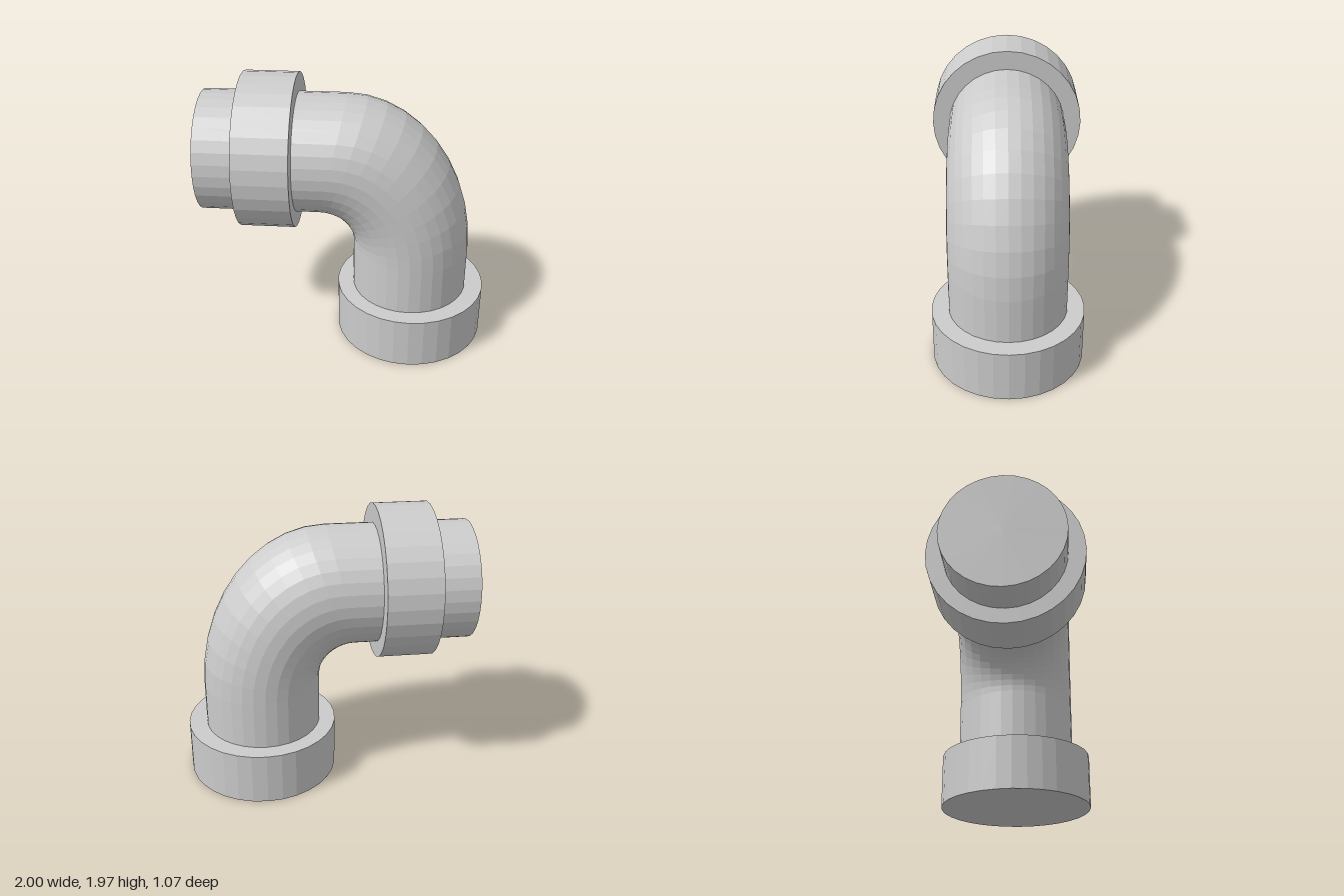
import * as THREE from 'three';

const SIDES = 32;
const PIPE_R = 0.417;

export function createModel() {
  const group = new THREE.Group();
  const material = new THREE.MeshStandardMaterial({ color: 0xcccccc, flatShading: true });
  const add = (name, geometry, x, y) => {
    const mesh = new THREE.Mesh(geometry, material);
    mesh.name = name;
    mesh.position.set(x, y, 0);
    group.add(mesh);
  };

  // Elbow pipe: each section is given by its inner and outer point in the xy plane
  const sections = [[-1, 0.998, -1, 1.832]];
  const BEND = 10;
  for (let i = 0; i <= BEND; i++) {
    const a = (i / BEND) * Math.PI / 2;
    const s = Math.sin(a), c = Math.cos(a);
    sections.push([
      -0.2 + 0.24 * s, 0.75 + 0.248 * c, // tight inner arc
      -0.01 + 0.88 * s, 0.7 + 1.132 * c, // wide outer arc
    ]);
  }
  sections.push([0.04, 0.3, 0.87, 0.3]);

  const positions = [];
  const index = [];
  sections.forEach(([ix, iy, ox, oy], i) => {
    for (let j = 0; j < SIDES; j++) {
      const a = (j / SIDES) * Math.PI * 2;
      const k = (1 + Math.cos(a)) / 2;
      positions.push(ix + (ox - ix) * k, iy + (oy - iy) * k, PIPE_R * Math.sin(a));
      if (i === sections.length - 1) continue;
      const p = i * SIDES + j;
      const q = i * SIDES + (j + 1) % SIDES;
      index.push(p, q, q + SIDES, p, q + SIDES, p + SIDES);
    }
  });
  const pipe = new THREE.BufferGeometry();
  pipe.setAttribute('position', new THREE.Float32BufferAttribute(positions, 3));
  pipe.setIndex(index);
  pipe.computeVertexNormals();
  add('elbowPipe', pipe, 0, 0);

  // Closed end of the horizontal run
  add('pipeEndCap', new THREE.CircleGeometry(PIPE_R, SIDES).rotateY(-Math.PI / 2), -1, 1.415);

  // Collars around the horizontal run and at the foot
  const collar = () => new THREE.CylinderGeometry(0.537, 0.537, 0.375, SIDES);
  add('upperCollar', collar().rotateZ(Math.PI / 2), -0.533, 1.428);
  add('baseCollar', collar(), 0.463, 0.1875);

  return group;
}
